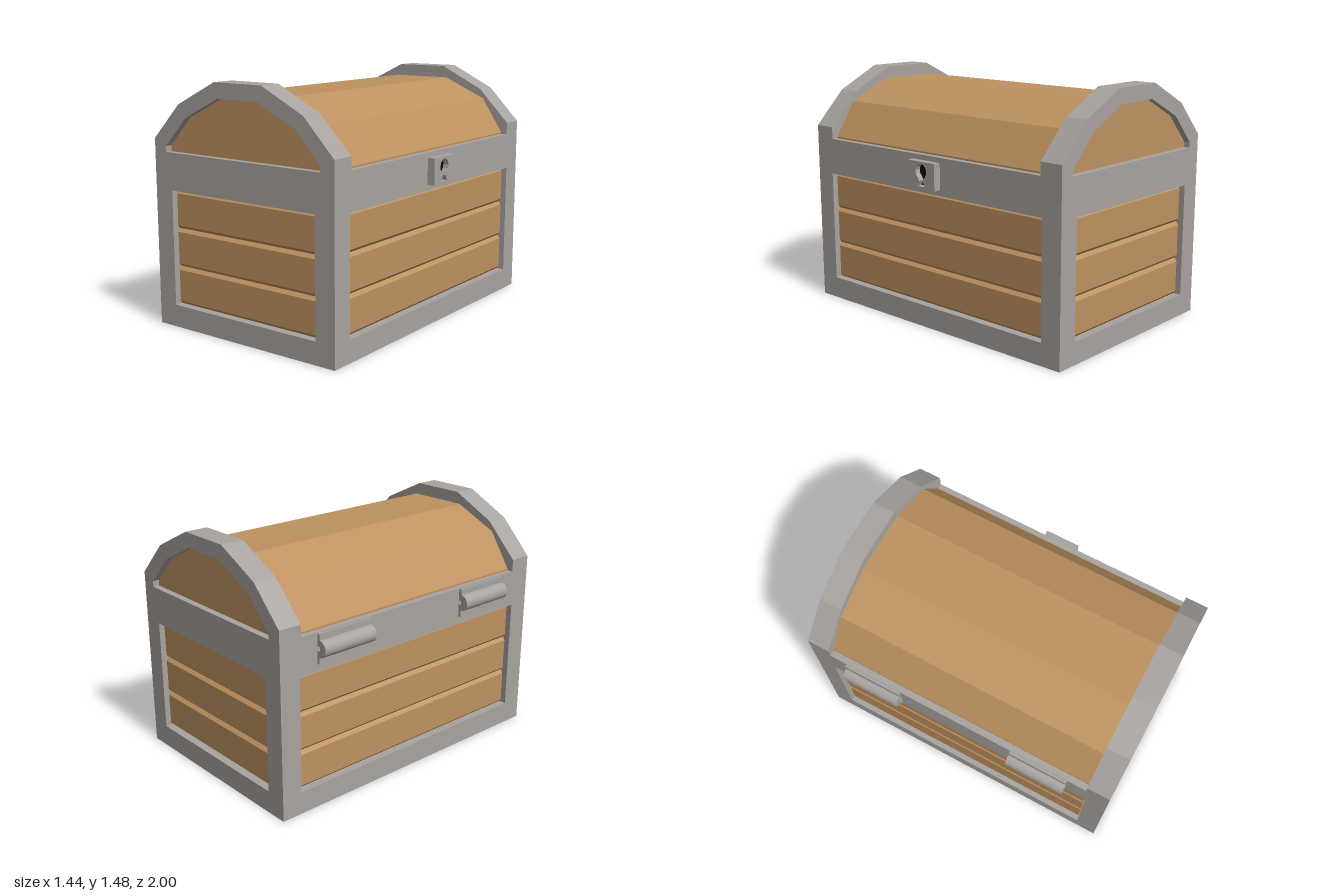
import * as THREE from 'three';

const material = (color) => new THREE.MeshStandardMaterial({ color, flatShading: true });
const METAL = material(0xa8a39f);
const WOOD = material(0xbe9260);
const BLACK = material(0x0c0c0c);

const HALF_W = 0.6625, WALL = 0.06, RECESS = 0.03;
const SILL = 0.135, HEAD = 0.83, RIM = 1.055;

// Right half of an arch, mirrored into a closed outline
function mirrored(half) {
  const left = half.map(([x, y]) => [-x, y]).reverse();
  return [...half, ...left].map(([x, y]) => new THREE.Vector2(x, y));
}

const rect = (hw, y0, y1) => mirrored([[hw, y0], [hw, y1]]);

function extrude(outline, holes, depth) {
  const shape = new THREE.Shape(outline);
  holes.forEach((h) => shape.holes.push(new THREE.Path(h)));
  return new THREE.ExtrudeGeometry(shape, { depth, bevelEnabled: false, curveSegments: 10 });
}

function add(parent, name, geometry, mat) {
  const mesh = new THREE.Mesh(geometry, mat);
  mesh.name = name;
  parent.add(mesh);
  return mesh;
}

// Box whose +z face is drawn in to leave bevelled edges
function plankGeometry(width, height) {
  const thick = 0.05, bevel = 0.02;
  const half = [
    [width / 2, -height / 2], [width / 2, height / 2],
  ];
  const back = new THREE.BoxGeometry(width, height, thick - bevel);
  back.translate(0, 0, -bevel - (thick - bevel) / 2);
  const front = new THREE.BoxGeometry(width, height, bevel);
  front.translate(0, 0, -bevel / 2);
  const p = front.attributes.position;
  for (let i = 0; i < p.count; i++) {
    if (p.getZ(i) < -bevel / 2) continue;
    p.setX(i, p.getX(i) - Math.sign(p.getX(i)) * 0.01);
    p.setY(i, p.getY(i) - Math.sign(p.getY(i)) * bevel);
  }
  front.computeVertexNormals();
  return [back, front];
}

// Three stacked planks facing +z at the given distance
function plankPanel(name, width, distance) {
  const panel = new THREE.Group();
  panel.name = name;
  const h = (HEAD - SILL) / 3;
  for (let i = 0; i < 3; i++) {
    const plank = new THREE.Group();
    plank.name = 'plank';
    const [back, front] = plankGeometry(width, h);
    add(plank, 'plankBack', back, WOOD);
    add(plank, 'plankFace', front, WOOD);
    plank.position.set(0, SILL + h * (i + 0.5), distance - RECESS);
    panel.add(plank);
  }
  return panel;
}

export function createModel() {
  const model = new THREE.Group();
  model.name = 'chest';
  const body = new THREE.Group();
  body.name = 'body';
  body.position.x = 0.0075;
  model.add(body);

  const arch = [[HALF_W, 1.13], [0.4575, 1.34], [0.1725, 1.48]];
  const opening = [[0.57, RIM], [0.57, 1.09], [0.403, 1.265], [0.148, 1.39]];

  // End frames with arched tops, and the deeper arch bands behind them
  for (const s of [1, -1]) {
    const end = new THREE.Group();
    end.name = s > 0 ? 'frontEnd' : 'backEnd';
    end.rotation.y = s > 0 ? 0 : Math.PI;
    body.add(end);

    const frame = extrude(mirrored([[HALF_W, 0], ...arch]),
      [mirrored(opening), rect(0.5325, SILL, HEAD)], WALL);
    add(end, 'endFrame', frame, METAL).position.z = 1 - WALL;

    const outer = mirrored([[HALF_W, RIM], ...arch]);
    const band = extrude([...outer, ...mirrored(opening).reverse()], [], 0.143 - WALL);
    add(end, 'archBand', band, METAL).position.z = 0.857;

    end.add(plankPanel('endPlanks', 1.065, 1));
  }

  // Long side frames
  for (const s of [1, -1]) {
    const side = new THREE.Group();
    side.name = s > 0 ? 'leftSide' : 'rightSide';
    side.rotation.y = s * Math.PI / 2;
    body.add(side);
    const frame = extrude(rect(1 - WALL, 0, RIM), [rect(0.869, SILL, HEAD)], WALL);
    add(side, 'sideFrame', frame, METAL).position.z = HALF_W - WALL;
    side.add(plankPanel('sidePlanks', 1.738, HALF_W));
  }

  // Floor
  const floor = new THREE.BoxGeometry(2 * (HALF_W - WALL), 0.06, 2 * (1 - WALL));
  add(body, 'floor', floor, METAL).position.y = 0.03;

  // Faceted wooden lid
  const lid = extrude(mirrored([[0.6225, 1.0], [0.6225, 1.065], [0.48, 1.28], [0.195, 1.405]]), [], 1.92);
  add(body, 'lid', lid, WOOD).position.z = -0.96;

  // Lock plate with a keyhole cut through to a dark backing
  const lock = new THREE.Group();
  lock.name = 'lock';
  lock.position.set(0.67, 0.945, 0);
  lock.rotation.y = Math.PI / 2;
  model.add(lock);
  const keyhole = [];
  for (let i = 0; i <= 10; i++) {
    const a = -Math.PI * 0.3 + (i / 10) * Math.PI * 1.6;
    keyhole.push(new THREE.Vector2(0.045 * Math.cos(a), 0.022 + 0.045 * Math.sin(a)));
  }
  keyhole.push(new THREE.Vector2(-0.014, -0.035), new THREE.Vector2(-0.03, -0.066),
    new THREE.Vector2(0.03, -0.066), new THREE.Vector2(0.014, -0.035));
  add(lock, 'lockPlate', extrude(rect(0.11, -0.08, 0.08), [keyhole], 0.046), METAL);
  const backing = new THREE.BoxGeometry(0.12, 0.145, 0.01);
  add(lock, 'keyholeBacking', backing, BLACK).position.z = 0.006;

  // Hinges: two leaves joined by a half-round barrel with a pin slot
  const profile = new THREE.Shape();
  profile.moveTo(0.017, -0.09);
  profile.lineTo(0.017, -0.012);
  profile.lineTo(-0.002, -0.012);
  profile.lineTo(-0.002, 0.012);
  profile.lineTo(0.017, 0.012);
  profile.lineTo(0.017, 0.085);
  profile.lineTo(0, 0.085);
  profile.lineTo(0, 0.05);
  profile.absarc(0, 0, 0.05, Math.PI / 2, Math.PI * 1.5, false);
  profile.lineTo(0, -0.09);
  for (const z of [0.365, -0.745]) {
    const hinge = new THREE.ExtrudeGeometry(profile, { depth: 0.37, bevelEnabled: false, curveSegments: 8 });
    add(model, 'hinge', hinge, METAL).position.set(-0.672, 0.965, z);
  }

  return model;
}
